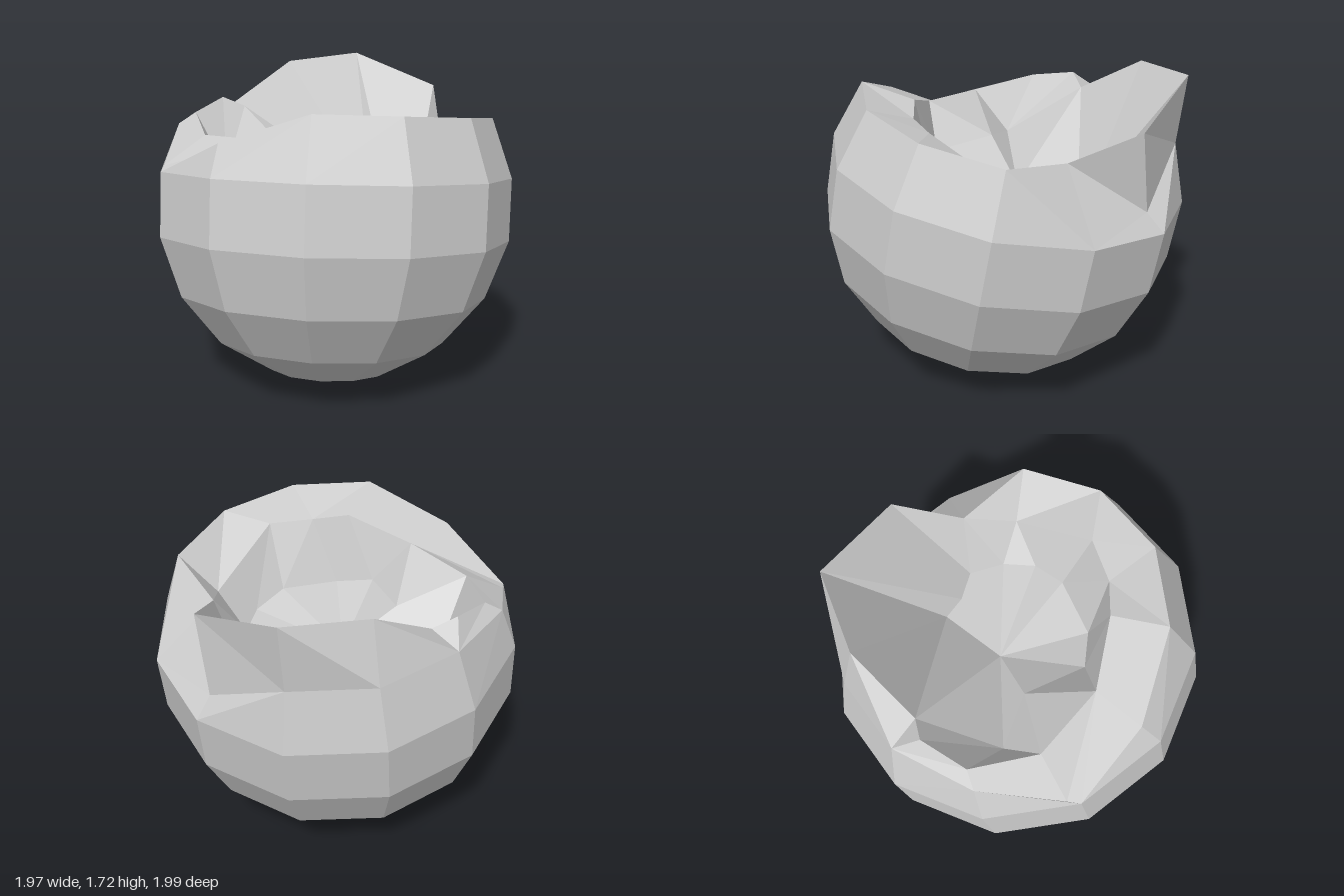
import * as THREE from 'three';

const V = (x, y, z) => new THREE.Vector3(x, y, z);
const rad = THREE.MathUtils.degToRad;
const CENTRE = V(0, 1, 0);
const tilt = new THREE.Euler(rad(-10), 0, 0.026, 'ZXY');

// Vertex of the tilted twelve-sided ball
function ball(lat, j) {
  const a = rad(9.5 + 30 * j), c = Math.cos(rad(lat));
  return V(c * Math.sin(a), Math.sin(rad(lat)), c * Math.cos(a))
    .multiplyScalar(1.01).applyEuler(tilt).add(CENTRE);
}

// Flat-shaded mesh from polygons; each is turned to face the wanted way
function facets(name, polys, facing) {
  const pos = [];
  for (const p of polys) {
    for (let i = 1; i < p.length - 1; i++) {
      const [a, b, c] = [p[0], p[i], p[i + 1]];
      const n = b.clone().sub(a).cross(c.clone().sub(a));
      const mid = a.clone().add(b).add(c).divideScalar(3);
      const tri = n.dot(facing(mid)) < 0 ? [a, c, b] : [a, b, c];
      for (const v of tri) pos.push(v.x, v.y, v.z);
    }
  }
  const g = new THREE.BufferGeometry();
  g.setAttribute('position', new THREE.Float32BufferAttribute(pos, 3));
  g.computeVertexNormals();
  const mesh = new THREE.Mesh(g, new THREE.MeshStandardMaterial({
    color: 0xcccccc, flatShading: true, side: THREE.DoubleSide }));
  mesh.name = name;
  return mesh;
}

export function createModel() {
  const outward = m => m.clone().sub(CENTRE);
  const upward = () => V(0, 1, 0);
  const next = j => (j + 1) % 12;

  // Lower shell: faceted bands from the bottom pole to just above the equator
  const shell = [];
  for (let j = 0; j < 12; j++) {
    const k = next(j);
    shell.push([ball(-90, 0), ball(-70, k), ball(-70, j)]);
    for (let lat = -70; lat < 10; lat += 20)
      shell.push([ball(lat, j), ball(lat, k), ball(lat + 20, k), ball(lat + 20, j)]);
  }

  // Broken rim: top edge of the last band
  const base = [], rim = [];
  for (let j = 0; j < 12; j++) {
    base.push(ball(10, j));
    rim.push(ball(30, j));
  }
  rim[4] = base[4];
  rim[5] = V(0.32, 1.12, -0.85);
  rim[9] = V(-0.91, 1.42, 0.07);
  rim[10] = base[10];
  rim[11] = V(-0.36, 1.48, 0.77);
  const band = [];
  for (let j = 0; j < 12; j++) {
    const k = next(j);
    band.push([base[j], base[k], rim[k]], [base[j], rim[k], rim[j]]);
  }

  // Raised shard at the back and the chipped edge beside it
  const peak = V(-0.15, 1.73, -0.98), shardR = V(0.39, 1.57, -0.82), shardL = V(-0.5, 1.7, -0.69);
  const chipA = V(-0.66, 1.47, -0.32), chipB = V(-0.77, 1.53, -0.25), chipC = V(-0.83, 1.48, 0.01);
  const chipD = V(-0.63, 1.42, 0.33), notch = V(0.5, 1.42, -0.46);
  const shard = [
    [rim[6], rim[5], shardR, peak], [rim[7], rim[6], peak, shardL],
    [rim[8], rim[7], shardL], [rim[8], shardL, chipA], [shardR, rim[5], notch],
  ];

  // Lip: inward-sloping top of the wall
  const lip = {
    10: V(-0.79, 1.28, 0.52), 11: V(-0.24, 1.45, 0.5), 0: V(0.13, 1.57, 0.46),
    1: V(0.33, 1.53, 0.4), 2: V(0.53, 1.53, 0.25), 3: V(0.63, 1.3, -0.2),
  };
  const lipFaces = [10, 11, 0, 1, 2].map(j => [rim[j], rim[next(j)], lip[next(j)], lip[j]]);
  lipFaces.push(
    [rim[9], rim[10], lip[10]], [rim[9], lip[10], chipD, chipC],
    [rim[8], rim[9], chipC, chipB], [rim[8], chipB, chipA],
    [rim[3], rim[4], notch], [rim[4], rim[5], notch], [lip[3], rim[3], notch],
  );

  // Hollow: shallow floor fan, and the walls between it and the lip
  const mid = V(-0.07, 1.05, -0.07);
  const floor = [
    V(-0.6, 1.18, 0.12), V(-0.3, 1.25, 0.14), V(-0.05, 1.22, 0.4), V(0.16, 1.18, 0.36),
    V(0.4, 1.19, 0.14), V(0.48, 1.13, -0.04), V(0.45, 1.1, -0.22),
    V(0.38, 1.0, -0.4), V(0.22, 0.98, -0.4), V(0.1, 0.95, -0.45), chipA,
  ];
  const hollow = floor.map((p, i) => [mid, p, floor[(i + 1) % floor.length]]);
  hollow.push(
    [chipD, floor[0], floor[1]], [chipD, floor[1], lip[11]], [lip[10], chipD, lip[11]],
    [lip[11], floor[1], floor[2]], [lip[11], floor[2], lip[0]],
    [lip[0], floor[2], floor[3]], [lip[0], floor[3], lip[1]],
    [lip[1], floor[3], floor[4], lip[2]],
    [lip[2], floor[4], floor[5]], [lip[2], floor[5], lip[3]],
    [lip[3], floor[5], floor[6]], [lip[3], floor[6], notch],
    [notch, floor[6], floor[7]], [shardR, notch, floor[7]],
    [shardR, floor[7], floor[8]], [peak, shardR, floor[8]],
    [peak, floor[8], floor[9]], [shardL, peak, floor[9]], [chipA, shardL, floor[9]],
    [chipB, chipA, floor[0]], [chipC, chipB, floor[0]], [chipC, floor[0], chipD],
  );

  const group = new THREE.Group();
  group.name = 'brokenShell';
  group.add(
    facets('lowerShell', shell, outward),
    facets('brokenRim', band, outward),
    facets('raisedShard', shard, outward),
    facets('lip', lipFaces, upward),
    facets('hollow', hollow, upward),
  );
  return group;
}
